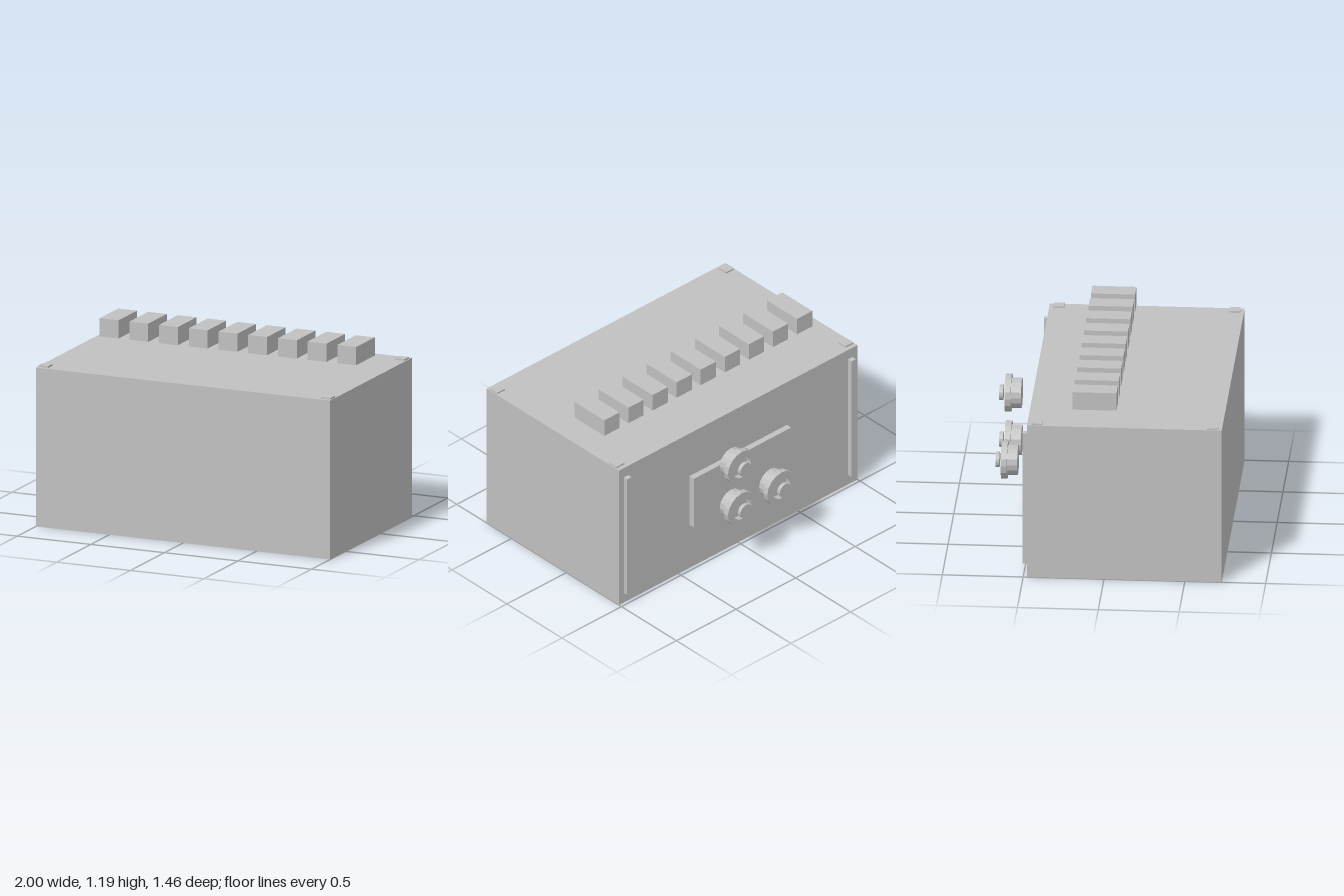
import * as THREE from 'three';

export function createModel() {
  const model = new THREE.Group();
  model.name = 'cabinet';
  const grey = new THREE.MeshStandardMaterial({ color: 0xc0c0c0, flatShading: true });
  grey.name = 'light grey';

  // Box given by its minimum and maximum on each axis
  function box(name, [x0, x1], [y0, y1], [z0, z1]) {
    const mesh = new THREE.Mesh(new THREE.BoxGeometry(x1 - x0, y1 - y0, z1 - z0), grey);
    mesh.position.set((x0 + x1) / 2, (y0 + y1) / 2, (z0 + z1) / 2);
    mesh.name = name;
    model.add(mesh);
  }

  box('body', [-1, 1], [0, 1.01], [-0.477, 0.728]);
  box('backPlate', [-0.408, 0.408], [0.323, 0.69], [-0.517, -0.477]);

  // Row of blocks floating above the lid
  for (let i = -4; i <= 4; i++) {
    const x = i * 0.202;
    box('topBlock', [x - 0.064, x + 0.064], [1.072, 1.188], [-0.205, 0.068]);
  }

  // Corner pads on the lid and upright strips on the back
  for (const side of [-1, 1]) {
    const x = side * 0.96;
    for (const z of [-0.416, 0.671]) {
      box('cornerPad', [x - 0.033, x + 0.033], [1.01, 1.021], [z - 0.033, z + 0.033]);
    }
    const s = side * 0.94;
    box('backStrip', [s - 0.019, s + 0.019], [0.073, 0.94], [-0.508, -0.477]);
  }

  // Connectors behind the back plate: base, rim ring and centre button
  function turned(name, points) {
    const profile = points.map(([r, h]) => new THREE.Vector2(r, h));
    const mesh = new THREE.Mesh(new THREE.LatheGeometry(profile, 16), grey);
    mesh.name = name;
    mesh.rotation.x = -Math.PI / 2;
    return mesh;
  }
  for (const [x, y] of [[0.165, 0.75], [0.165, 0.438], [-0.165, 0.438]]) {
    const connector = new THREE.Group();
    connector.name = 'connector';
    connector.add(
      turned('base', [[0, 0.59], [0.094, 0.59], [0.094, 0.653], [0, 0.653]]),
      turned('rim', [[0.075, 0.653], [0.118, 0.653], [0.118, 0.691], [0.075, 0.691], [0.075, 0.653]]),
      turned('button', [[0, 0.704], [0.048, 0.704], [0.048, 0.728], [0, 0.728]])
    );
    connector.position.set(x, y, 0);
    model.add(connector);
  }
  return model;
}
